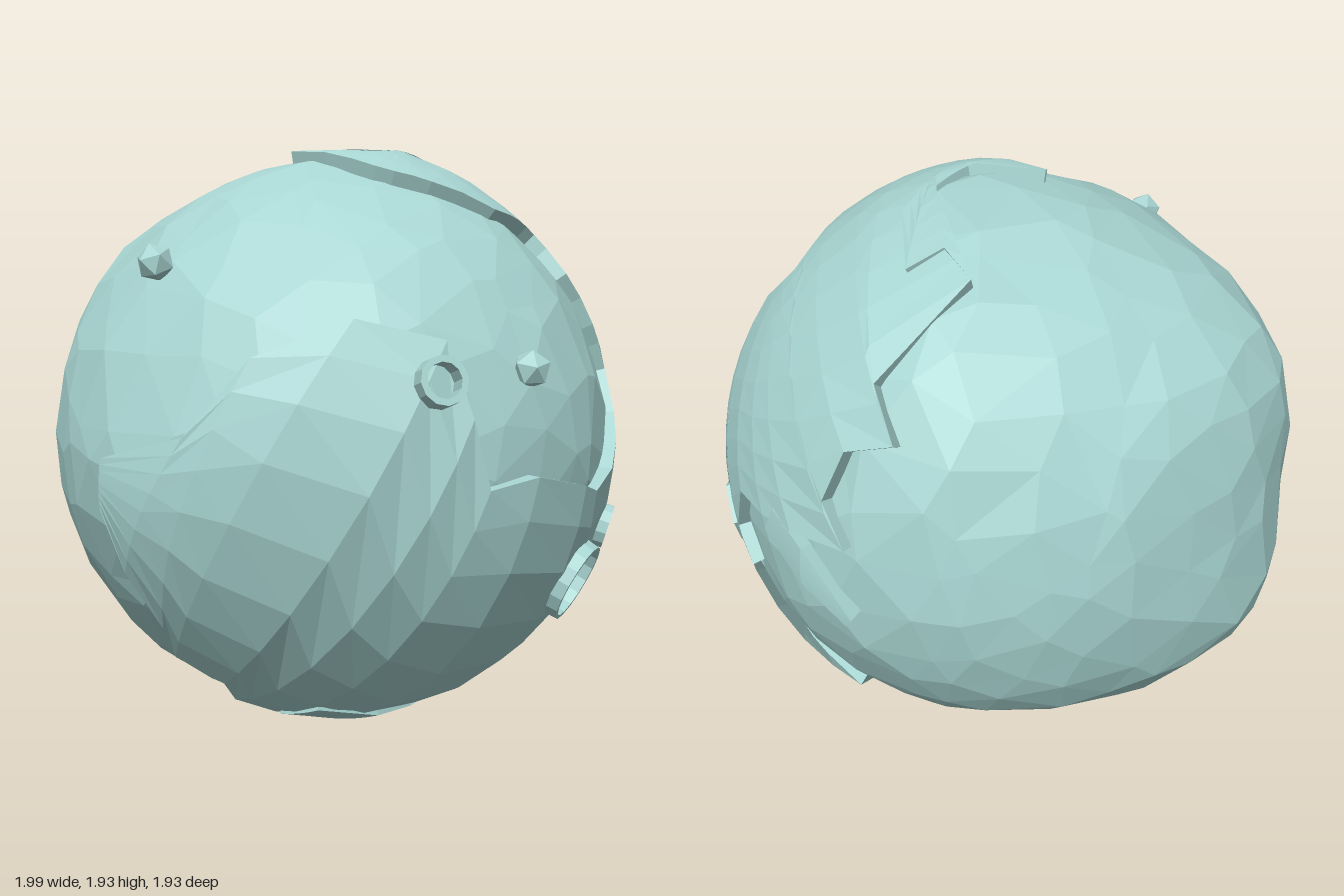
import * as THREE from 'three';

const CENTRE_Y = 0.96;
const V = (x, y, z) => new THREE.Vector3(x, y, z);
// World-space point -> unit direction from the planet's centre
const dirOf = ([x, y, z]) => V(x, y - CENTRE_Y, z).normalize();

// Broad swellings that make the planet slightly lopsided: direction, height
const swellings = [
  [[-0.25, 0.5, -0.83], 0.07], [[0.15, 0.5, -0.86], 0.025], [[0, -0.4, -0.93], 0.085],
  [[0.83, 0.52, -0.15], 0.055], [[0.6, 0.78, -0.1], 0.04], [[-1, -0.1, 0], 0.04],
  [[1, 0, -0.05], 0.035], [[-0.85, 0.1, -0.5], 0.02], [[0.4, 0.1, -0.9], -0.03],
  [[0.1, 0.25, 0.95], 0.012], [[0.05, 0.95, 0.2], 0.025], [[-0.76, 0.12, 0.62], 0.025],
].map(([d, h]) => [V(...d).normalize(), h]);

function groundRadius(d) {
  return swellings.reduce((r, [c, h]) => r + h * Math.exp(-(d.angleTo(c) ** 2) / 0.11), 0.927);
}

// Repeatable noise in -1..1 for a direction
function noise(d, seed) {
  const k = [d.x, d.y, d.z].map((n) => Math.round(n * 1000));
  const s = Math.sin(k[0] * 0.127 + k[1] * 0.311 + k[2] * 0.747 + seed * 17.3) * 43758.5;
  return (s - Math.floor(s)) * 2 - 1;
}

const atSurface = (d, lift) => d.clone().multiplyScalar(groundRadius(d) + lift);

// Raised land: a strip between two shore lines, curved over the globe, with cliff walls
function landmass(name, shoreA, shoreB, lift, material) {
  const a = shoreA.map(dirOf), b = shoreB.map(dirOf), cols = a.length, rows = 8;
  const pos = [], index = [], dirs = [];
  for (let i = 0; i < cols; i++) {
    for (let j = 0; j <= rows; j++) {
      const d = a[i].clone().lerp(b[i], j / rows).normalize();
      dirs.push(d);
      pos.push(...atSurface(d, lift).toArray());
    }
  }
  const id = (i, j) => i * (rows + 1) + j;
  for (let i = 0; i < cols - 1; i++) {
    for (let j = 0; j < rows; j++) {
      const [p, q, r, s] = [id(i, j), id(i, j + 1), id(i + 1, j + 1), id(i + 1, j)];
      index.push(p, q, r, p, r, s);
    }
  }
  // Cliff around the rim
  const rim = [];
  for (let i = 0; i < cols; i++) rim.push(id(i, 0));
  for (let j = 1; j <= rows; j++) rim.push(id(cols - 1, j));
  for (let i = cols - 2; i >= 0; i--) rim.push(id(i, rows));
  for (let j = rows - 1; j > 0; j--) rim.push(id(0, j));
  const base = pos.length / 3, n = rim.length;
  rim.forEach((k) => pos.push(...atSurface(dirs[k], -0.04).toArray()));
  rim.forEach((k, m) => {
    const m2 = (m + 1) % n;
    index.push(k, rim[m2], base + m2, k, base + m2, base + m);
  });
  const geo = new THREE.BufferGeometry();
  geo.setAttribute('position', new THREE.Float32BufferAttribute(pos, 3));
  geo.setIndex(index);
  geo.computeVertexNormals();
  const mesh = new THREE.Mesh(geo, material);
  mesh.name = name;
  return mesh;
}

// Puts a part on the ground with its y axis pointing outwards
function place(mesh, name, point, lift) {
  const d = dirOf(point);
  mesh.position.copy(atSurface(d, lift));
  mesh.quaternion.setFromUnitVectors(V(0, 1, 0), d);
  mesh.name = name;
  return mesh;
}

function craterRim(radius, width, height, sides) {
  const h = height / 2, i = radius - width;
  const profile = [[i, -h], [radius * 1.04, -h], [radius, h], [i, h], [i, -h]];
  return new THREE.LatheGeometry(profile.map(([x, y]) => new THREE.Vector2(x, y)), sides);
}

export function createModel() {
  const planet = new THREE.Group();
  planet.name = 'planet';
  const globe = new THREE.Group();
  globe.name = 'globe';
  globe.position.y = CENTRE_Y;
  planet.add(globe);
  const rock = new THREE.MeshStandardMaterial({ color: 0xa8d5d2, flatShading: true });
  const cliff = rock.clone();
  cliff.side = THREE.DoubleSide;

  // Faceted ground
  const ground = new THREE.IcosahedronGeometry(1, 5);
  const p = ground.attributes.position;
  for (let i = 0; i < p.count; i++) {
    const d = V().fromBufferAttribute(p, i).normalize();
    const moved = d.clone().add(V(noise(d, 5), noise(d, 6), noise(d, 7)).multiplyScalar(0.06)).normalize();
    p.setXYZ(i, ...atSurface(moved, 0.007 * noise(d, 8)).toArray());
  }
  ground.computeVertexNormals();
  const groundMesh = new THREE.Mesh(ground, rock);
  groundMesh.name = 'ground';
  globe.add(groundMesh);

  // Main continent wrapping the front basin: inner shore, then outer shore
  const innerShore = [
    [-0.94, 1.0, -0.08], [-0.9, 1.08, 0.2], [-0.8, 1.3, 0.35], [-0.6, 1.4, 0.55], [-0.42, 1.34, 0.73],
    [-0.41, 1.13, 0.82], [-0.37, 0.93, 0.85], [-0.2, 0.95, 0.9], [0.04, 0.89, 0.93], [0.13, 0.86, 0.92],
    [0.3, 0.9, 0.88], [0.4, 0.97, 0.83], [0.5, 1.05, 0.78], [0.55, 1.18, 0.71], [0.52, 1.27, 0.71],
    [0.48, 1.33, 0.7], [0.44, 1.42, 0.68], [0.38, 1.5, 0.66], [0.39, 1.58, 0.58], [0.37, 1.62, 0.54],
    [0.33, 1.65, 0.54], [0.28, 1.68, 0.55], [0.2, 1.69, 0.56], [0.1, 1.7, 0.56], [0, 1.75, 0.5],
    [-0.08, 1.79, 0.45], [-0.12, 1.81, 0.41], [-0.16, 1.83, 0.37], [-0.19, 1.86, 0.32], [-0.2, 1.88, 0.24],
    [-0.19, 1.88, 0.12], [-0.17, 1.88, -0.03],
  ];
  const outerShore = [
    [-0.95, 0.85, -0.09], [-0.93, 0.65, -0.05], [-0.85, 0.45, 0], [-0.75, 0.32, -0.05], [-0.65, 0.25, 0.08],
    [-0.5, 0.16, 0], [-0.4, 0.1, 0.08], [-0.2, 0.04, 0], [0, 0.01, 0.07], [0.2, 0.02, 0.05],
    [0.36, 0.06, 0.05], [0.55, 0.2, 0.2], [0.8, 0.4, 0.08], [0.7, 0.43, 0.39], [0.63, 0.48, 0.54],
    [0.67, 0.63, 0.6], [0.8, 0.78, 0.46], [0.76, 0.88, 0.54], [0.8, 1.08, 0.45], [0.87, 1.1, 0.3],
    [0.92, 1.13, 0.15], [0.92, 1.16, -0.06], [0.88, 1.27, 0.03], [0.83, 1.42, -0.02], [0.8, 1.47, -0.16],
    [0.72, 1.58, -0.05], [0.42, 1.79, -0.15], [0.35, 1.8, -0.02], [0.45, 1.77, 0.04], [0.25, 1.83, 0.2],
    [-0.08, 1.88, 0.2], [-0.16, 1.88, -0.03],
  ];
  globe.add(landmass('continent', innerShore, outerShore, 0.036, cliff));

  // Small headland below the continent's side
  globe.add(landmass('headland',
    [[0.88, 1.15, 0.24], [0.92, 1.1, 0.1], [0.94, 0.93, -0.08]],
    [[0.87, 1.06, 0.28], [0.92, 0.98, 0.1], [0.94, 0.9, -0.06]], 0.036, cliff));

  // Thin shelf under the planet
  globe.add(landmass('bottomShelf',
    [[-0.45, 0.17, 0.3], [-0.2, 0.09, 0.35], [0, 0.08, 0.33], [0.2, 0.08, 0.35], [0.4, 0.12, 0.3]],
    [[-0.42, 0.12, 0.12], [-0.2, 0.05, 0.12], [0, 0.02, 0.08], [0.2, 0.03, 0.12], [0.36, 0.06, 0.08]],
    0.043, cliff));

  // Crater rims: point, radius, wall, height, sides, lift
  const craters = [
    ['leftCrater', [-0.49, 1.235, 0.76], 0.073, 0.02, 0.08, 12, 0.04],
    ['largeCrater', [0.16, 0.56, 0.83], 0.135, 0.014, 0.06, 16, 0.03],
    ['smallCrater', [0.36, 0.7, 0.82], 0.073, 0.014, 0.06, 12, 0.03],
    ['shallowCrater', [0.65, 0.83, 0.66], 0.11, 0.01, 0.03, 5, 0.025],
  ];
  for (const [name, point, radius, wall, height, sides, lift] of craters) {
    globe.add(place(new THREE.Mesh(craterRim(radius, wall, height, sides), cliff), name, point, lift));
  }

  // Boulders
  for (const [name, point, lift] of [
    ['frontBoulder', [-0.17, 1.26, 0.88], 0.015], ['sideBoulder', [-0.75, 1.57, -0.09], 0.04],
  ]) {
    globe.add(place(new THREE.Mesh(new THREE.IcosahedronGeometry(0.06, 0), rock), name, point, lift));
  }
  return planet;
}
